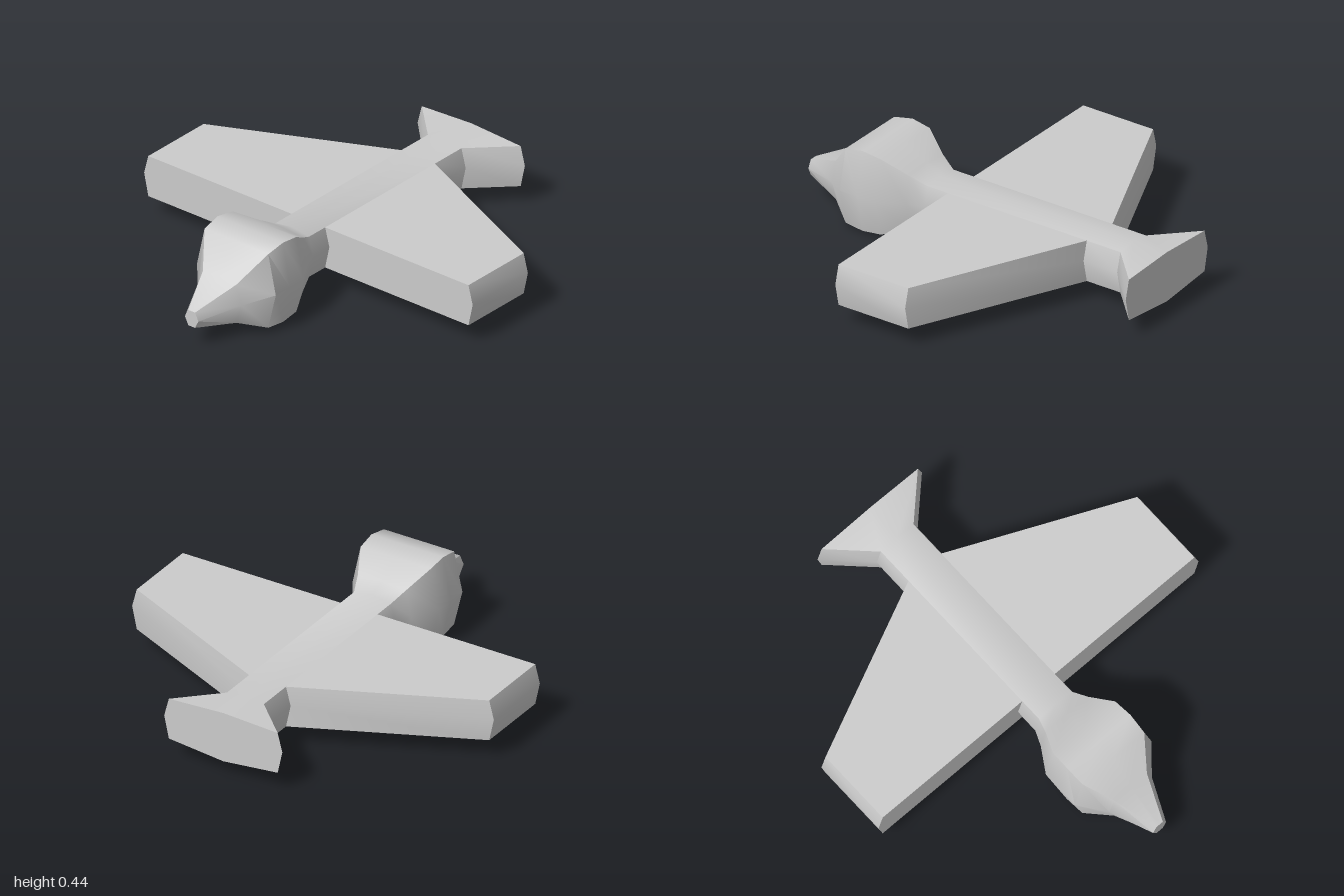
import * as THREE from 'three';
import { toCreasedNormals } from 'three/addons/utils/BufferGeometryUtils.js';

// Eight-point cross-section, counter-clockwise seen from the front.
// [z, half width, corner half width, top centre, top corner, middle, bottom corner, bottom centre]
function ring([z, w, c, topC, top, mid, bot, botC]) {
  return [
    [0, topC, z], [-c, top, z], [-w, mid, z], [-c, bot, z],
    [0, botC, z], [c, bot, z], [w, mid, z], [c, top, z],
  ];
}

// Skin a run of sections from front to back and cap both ends.
function loft(name, sections, material) {
  const rings = sections.map(ring);
  const n = 8;
  const index = [];
  for (let s = 0; s < rings.length - 1; s++) {
    for (let i = 0; i < n; i++) {
      const j = (i + 1) % n;
      const a = s * n;
      const b = a + n;
      index.push(a + i, b + i, a + j, a + j, b + i, b + j);
    }
  }
  const last = (rings.length - 1) * n;
  for (let i = 1; i < n - 1; i++) {
    index.push(0, i, i + 1, last, last + i + 1, last + i);
  }
  const geometry = new THREE.BufferGeometry();
  geometry.setAttribute('position', new THREE.Float32BufferAttribute(rings.flat(2), 3));
  geometry.setIndex(index);
  const mesh = new THREE.Mesh(toCreasedNormals(geometry, 0.75), material);
  mesh.name = name;
  return mesh;
}

export function createModel() {
  const group = new THREE.Group();
  group.name = 'bird';
  const grey = new THREE.MeshStandardMaterial({ color: 0xcccccc });

  // Beak, head, neck, slim body and fanned tail
  group.add(loft('body', [
    [1.00, 0.04, 0.02, 0.19, 0.19, 0.15, 0.11, 0.11],
    [0.80, 0.13, 0.10, 0.29, 0.28, 0.18, 0.08, 0.07],
    [0.68, 0.235, 0.19, 0.42, 0.42, 0.22, 0.035, 0.02],
    [0.58, 0.235, 0.195, 0.44, 0.44, 0.22, 0.025, 0.005],
    [0.48, 0.235, 0.19, 0.425, 0.425, 0.22, 0.035, 0.02],
    [0.36, 0.16, 0.13, 0.36, 0.35, 0.22, 0.07, 0.05],
    [0.28, 0.125, 0.10, 0.325, 0.31, 0.215, 0.10, 0.07],
    [-0.62, 0.125, 0.10, 0.325, 0.31, 0.215, 0.10, 0.07],
    [-0.81, 0.125, 0.10, 0.325, 0.31, 0.215, 0.10, 0.07],
    [-1.00, 0.32, 0.295, 0.325, 0.31, 0.215, 0.10, 0.07],
  ], grey));

  // Both wings: straight leading edge, swept trailing edge
  group.add(loft('wings', [
    [0.165, 0.98, 0.955, 0.31, 0.31, 0.215, 0.10, 0.10],
    [-0.23, 0.98, 0.955, 0.31, 0.31, 0.215, 0.10, 0.10],
    [-0.62, 0.125, 0.10, 0.31, 0.31, 0.215, 0.10, 0.10],
  ], grey));

  return group;
}
